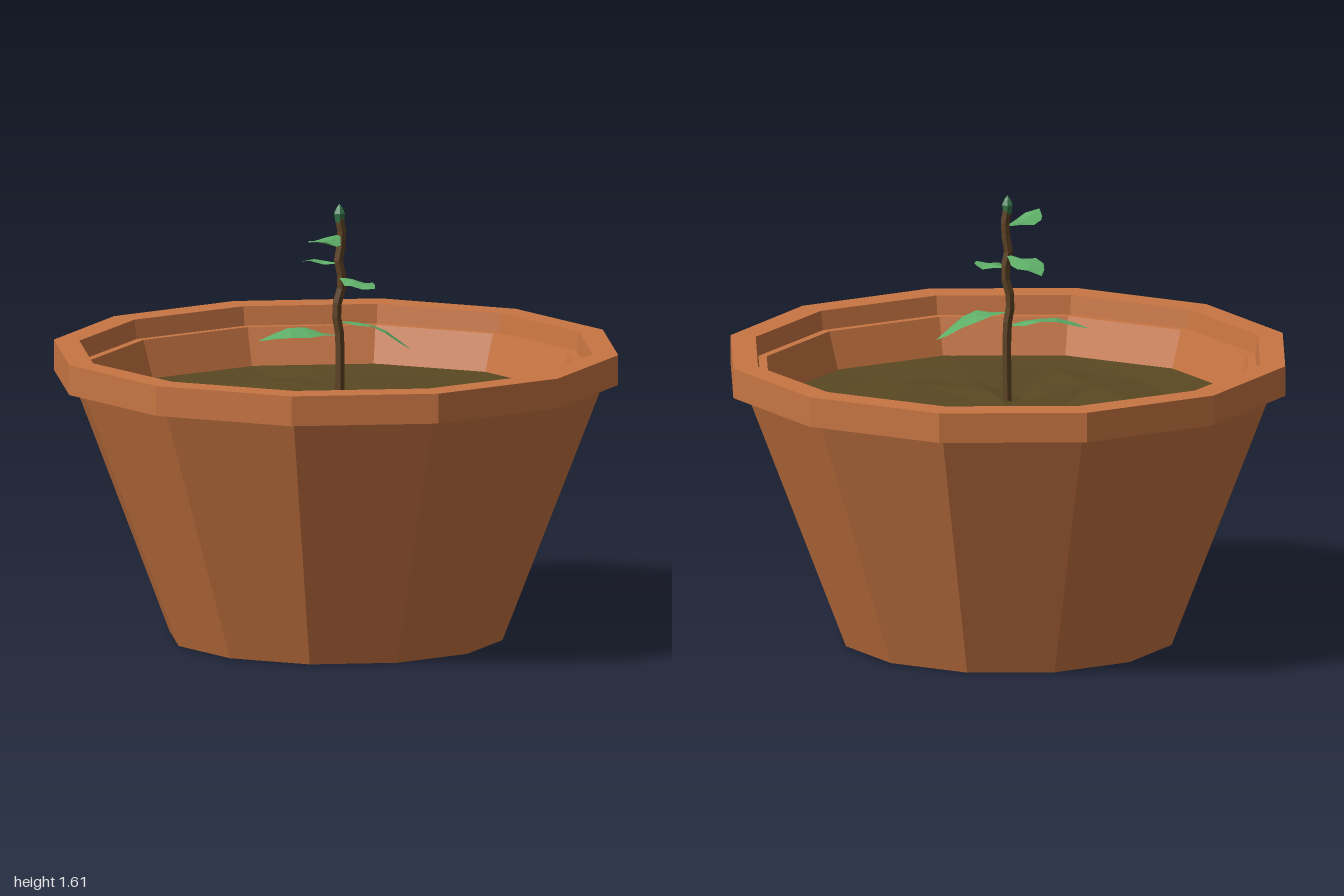
import * as THREE from 'three';

const SIDES = 12;
const K = 1 / Math.cos(Math.PI / SIDES); // flat-to-flat size -> corner radius

function material(name, color, side = THREE.FrontSide) {
  const m = new THREE.MeshStandardMaterial({ color, flatShading: true, side });
  m.name = name;
  return m;
}

function part(name, geometry, mat) {
  const mesh = new THREE.Mesh(geometry, mat);
  mesh.name = name;
  return mesh;
}

// Twelve-sided turned shape with a flat facing the front
function turned(profile) {
  const points = profile.map(([r, y]) => new THREE.Vector2(r * K, y));
  return new THREE.LatheGeometry(points, SIDES, Math.PI / SIDES);
}

// Small repeatable unevenness in -1..1
function wobble(n) {
  const s = Math.sin(n * 12.9898) * 43758.5453;
  return (s - Math.floor(s)) * 2 - 1;
}

// Pot: base, sloping wall, thick rim, stepped inside
function potGeometry() {
  const profile = [
    [0, 0], [0.59, 0], [0.945, 0.95], [1, 0.95], [1, 1.06],
    [0.91, 1.06], [0.9, 0.99], [0.87, 0.99], [0.82, 0.83],
  ];
  const g = turned(profile);
  const p = g.attributes.position;
  for (let i = 0; i < p.count; i++) {
    // the opening is a little narrower front to back
    if (i % profile.length >= 5) p.setZ(i, p.getZ(i) * 0.975);
  }
  return g;
}

// Soil: rings of slightly uneven ground
function soilGeometry() {
  const profile = [[0.835, 0.855], [0.64, 0.85], [0.43, 0.85], [0.2, 0.85], [0, 0.85]];
  const g = turned(profile);
  const p = g.attributes.position;
  const rings = profile.length;
  for (let i = 0; i < p.count; i++) {
    const ring = i % rings;
    const spoke = Math.floor(i / rings) % SIDES;
    if (ring > 0 && ring < rings - 1) {
      p.setY(i, p.getY(i) + 0.014 * wobble(ring * 17 + spoke + 1));
    }
    if (ring === 0) p.setZ(i, p.getZ(i) * 0.985);
  }
  return g;
}

// Leaf: creased blade swept from base through an arched middle to the tip
function leafGeometry(base, middle, tip, width, seed) {
  const a = new THREE.Vector3(...base);
  const b = new THREE.Vector3(...tip);
  const curve = new THREE.CatmullRomCurve3([a, new THREE.Vector3(...middle), b]);
  const across = new THREE.Vector3(b.z - a.z, 0, a.x - b.x).normalize();
  const halfWidths = [0.08, 0.5, 0.95, 1, 0.62, 0];
  const last = halfWidths.length - 1;
  const verts = [];
  const index = [];
  halfWidths.forEach((w, i) => {
    const c = curve.getPoint(i / last);
    for (const s of [-1, 0, 1]) {
      const v = c.clone().addScaledVector(across, s * w * width / 2);
      if (s !== 0) v.y += w * (-0.006 + 0.012 * wobble(seed + i * 3 + s));
      verts.push(v.x, v.y, v.z);
    }
    if (i === last) return;
    for (const j of [0, 1]) {
      const q = i * 3 + j;
      index.push(q, q + 3, q + 1, q + 1, q + 3, q + 4);
    }
  });
  const g = new THREE.BufferGeometry();
  g.setAttribute('position', new THREE.Float32BufferAttribute(verts, 3));
  g.setIndex(index);
  g.computeVertexNormals();
  return g;
}

export function createModel() {
  const terracotta = material('terracotta', 0xc87542);
  const earth = material('earth', 0x5a4822);
  const bark = material('bark', 0x5e4224);
  const leafGreen = material('leaf green', 0x5fae68, THREE.DoubleSide);
  const budGreen = material('bud green', 0x34774a);

  const model = new THREE.Group();
  model.name = 'pottedSeedling';
  model.add(part('pot', potGeometry(), terracotta));
  model.add(part('soil', soilGeometry(), earth));

  const plant = new THREE.Group();
  plant.name = 'seedling';
  model.add(plant);

  // Crooked stem
  const z = 0.12;
  const stemPath = new THREE.CatmullRomCurve3([
    [0, 0.82], [0, 1.13], [-0.012, 1.22], [0.01, 1.32], [-0.004, 1.41], [0.01, 1.48], [0, 1.56],
  ].map(([x, y]) => new THREE.Vector3(x, y, z)));
  plant.add(part('stem', new THREE.TubeGeometry(stemPath, 14, 0.018, 6), bark));

  // Bud at the top
  const bud = new THREE.LatheGeometry(
    [[0, 1.54], [0.016, 1.54], [0.022, 1.575], [0.012, 1.595], [0, 1.61]]
      .map(([r, y]) => new THREE.Vector2(r, y)), 6);
  bud.translate(0, 0, z);
  plant.add(part('bud', bud, budGreen));

  // Leaves: base, middle, tip, width
  const leaves = [
    ['lowerRightLeaf', [0, 1.125, z], [-0.15, 1.145, 0.14], [-0.3, 1.11, 0.13], 0.13],
    ['lowerLeftLeaf', [0, 1.175, z], [0.14, 1.155, 0.125], [0.26, 1.07, 0.13], 0.14],
    ['frontLeaf', [0, 1.34, z], [0.06, 1.335, 0.21], [0.11, 1.325, 0.3], 0.1],
    ['backLeaf', [0, 1.39, z], [-0.07, 1.385, 0.01], [-0.12, 1.36, -0.1], 0.11],
    ['topLeaf', [0, 1.495, z], [-0.065, 1.49, 0.23], [-0.12, 1.51, 0.34], 0.11],
  ];
  leaves.forEach(([name, base, middle, tip, width], i) => {
    plant.add(part(name, leafGeometry(base, middle, tip, width, i * 31 + 5), leafGreen));
  });

  return model;
}
